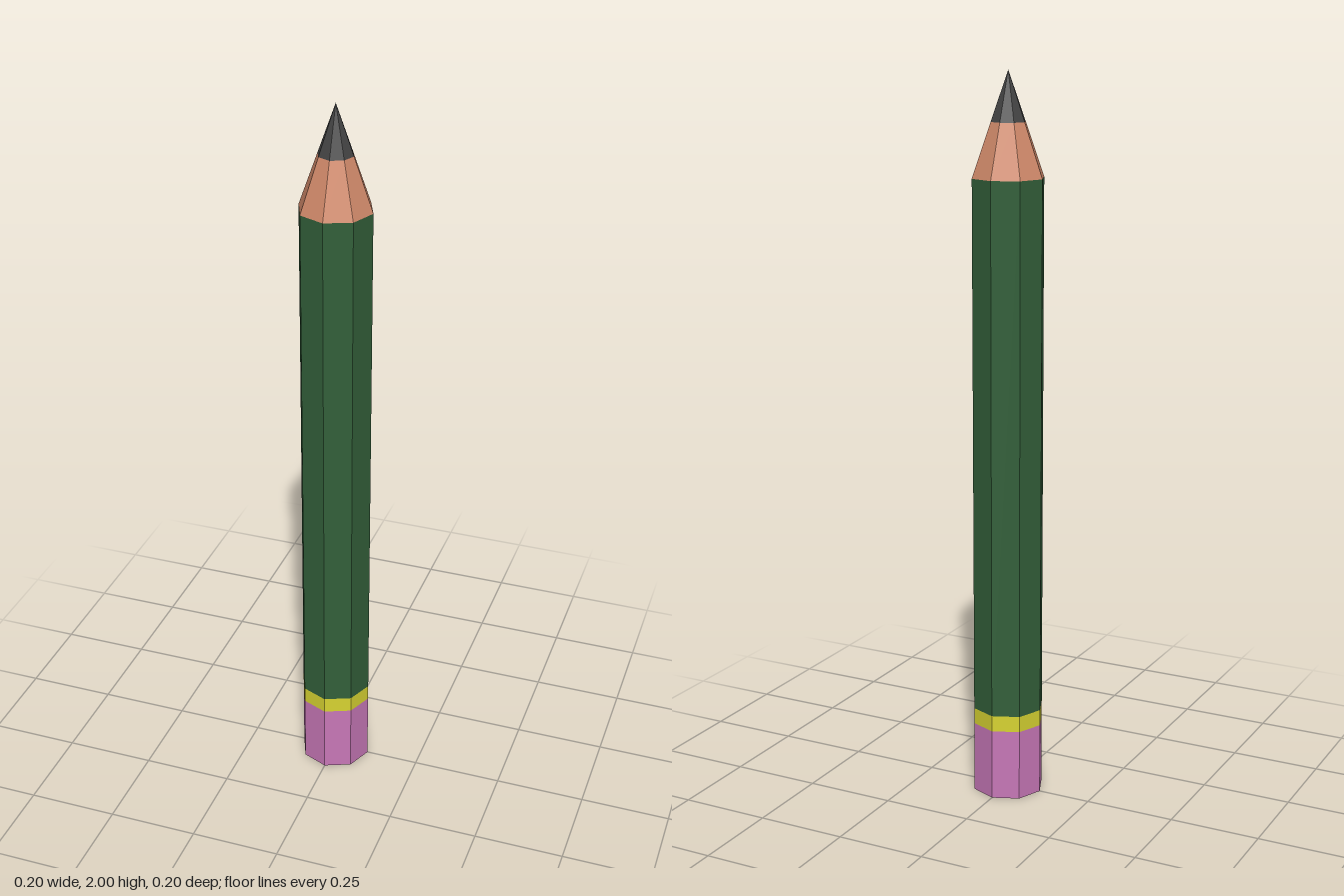
import * as THREE from 'three';

const SIDES = 8;

export function createModel() {
  const pencil = new THREE.Group();
  pencil.name = 'pencil';

  // One faceted section between two heights, closed only where an end is exposed
  function section(name, color, y0, y1, r0, r1, open = true) {
    const geometry = new THREE.CylinderGeometry(r1, r0, y1 - y0, SIDES, 1, open);
    const material = new THREE.MeshStandardMaterial({ color, flatShading: true });
    const mesh = new THREE.Mesh(geometry, material);
    mesh.name = name;
    mesh.position.y = (y0 + y1) / 2;
    pencil.add(mesh);
  }

  // Straight shaft, from the bottom up
  section('eraser', 0xc878b8, 0, 0.2, 0.1, 0.1, false);
  section('ferrule', 0xd8d432, 0.2, 0.245, 0.1, 0.1);
  section('barrel', 0x33603a, 0.245, 1.722, 0.1, 0.1);

  // Sharpened end: one continuous taper in two colours
  section('sharpenedWood', 0xd0896a, 1.722, 1.867, 0.1, 0.048);
  section('graphiteTip', 0x444444, 1.867, 2, 0.048, 0);

  return pencil;
}
